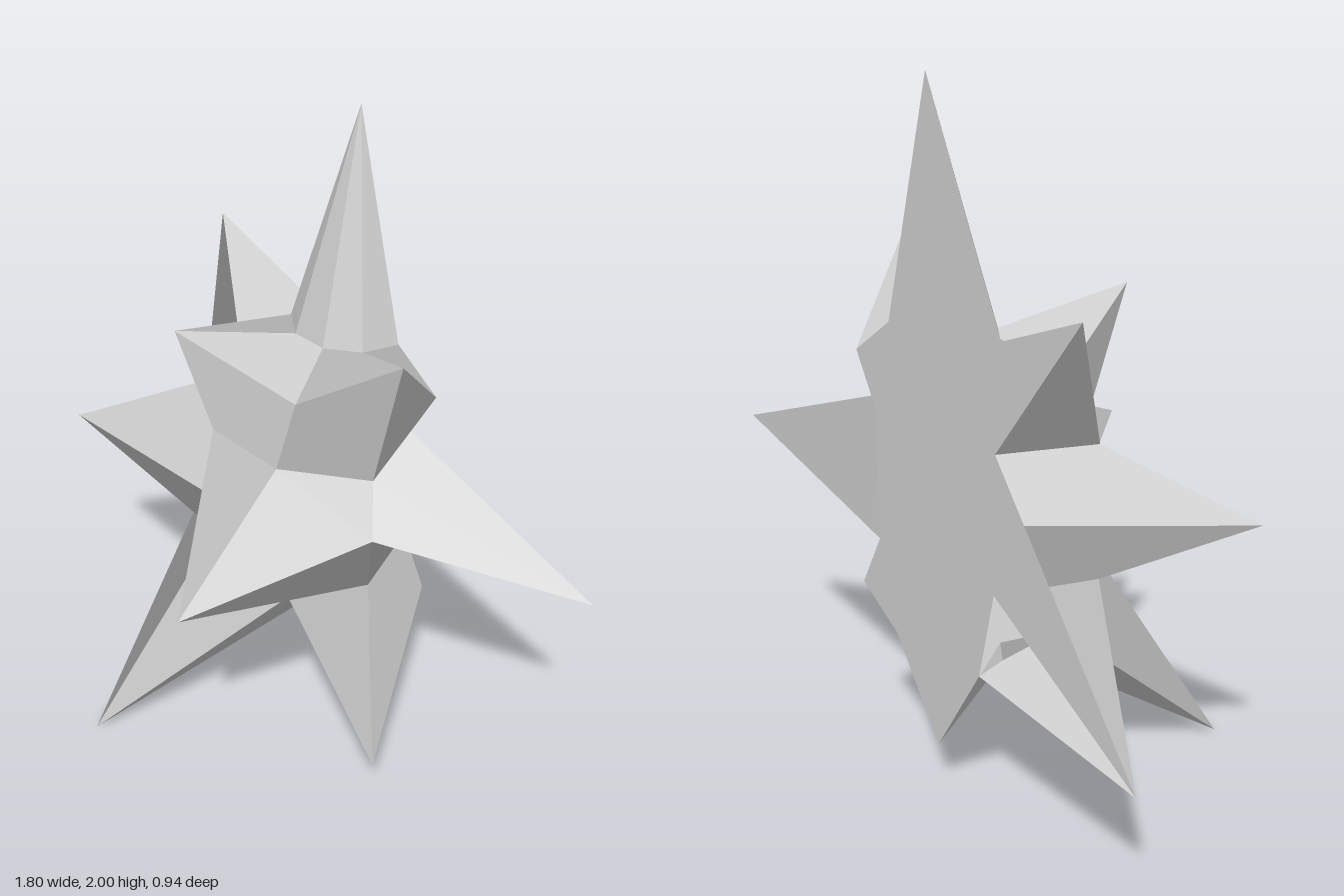
import * as THREE from 'three';

const CENTER = new THREE.Vector3(-0.105, 0.865, -0.47);
const RADIUS = 0.493;
const ROWS = 7, COLS = 6; // latitudes 67.5..-67.5 by 22.5, azimuths 0..180 by 36

// Pulled vertices of the half sphere, keyed "row,column"
const TIPS = {
  '1,1': [0.525, 1.62, -0.015], '1,3': [-0.28, 1.415, 0.07], '1,5': [-0.7, 1.46, -0.47],
  '3,0': [0.9, 0.865, -0.43], '3,2': [0.2, 0.865, 0.47], '3,4': [-0.82, 0.865, 0.05],
  '5,1': [0.465, 0.18, -0.05], '5,3': [-0.38, 0, 0.37], '5,5': [-0.905, 0.31, -0.47],
};
// Vertices pushed in between the spikes
const VALLEYS = {
  '2,0': [0.155, 1.055, -0.47], '4,0': [0.155, 0.675, -0.47],
  '2,5': [-0.37, 1.055, -0.47], '4,5': [-0.36, 0.665, -0.47],
  '3,3': [-0.19, 0.865, 0.02], '3,5': [-0.38, 0.865, -0.47],
};
// Cells split along the other diagonal
const OTHER_DIAGONAL = ['4,4', '5,4', '5,0'];

function point(row, col) {
  const key = `${row},${col}`;
  const moved = TIPS[key] || VALLEYS[key];
  if (moved) return new THREE.Vector3(...moved);
  const lat = THREE.MathUtils.degToRad(67.5 - row * 22.5);
  const az = THREE.MathUtils.degToRad(col * 36);
  return new THREE.Vector3(Math.cos(lat) * Math.cos(az), Math.sin(lat), Math.cos(lat) * Math.sin(az))
    .multiplyScalar(RADIUS).add(CENTER);
}

// Faceted mesh from corner triples, with one normal per triangle
function facetMesh(name, triangles, normals) {
  const geometry = new THREE.BufferGeometry().setFromPoints(triangles.flat());
  if (normals) {
    const values = normals.flatMap((n) => [n, n, n]).flatMap((n) => n.toArray());
    geometry.setAttribute('normal', new THREE.Float32BufferAttribute(values, 3));
  } else geometry.computeVertexNormals();
  const material = new THREE.MeshStandardMaterial({ color: 0xcccccc, side: THREE.DoubleSide });
  const mesh = new THREE.Mesh(geometry, material);
  mesh.name = name;
  return mesh;
}

export function createModel() {
  const group = new THREE.Group();
  group.name = 'halfSpikedStar';
  const apex = new THREE.Vector3(-0.105, 2, -0.47);
  const nadir = new THREE.Vector3(-0.105, 0.13, -0.47);

  // Side spikes: folded four-sided cells, each shaded as one facet
  const body = [], normals = [];
  for (let r = 0; r < ROWS - 1; r++) {
    for (let c = 0; c < COLS - 1; c++) {
      const a = point(r, c), b = point(r, c + 1);
      const d = point(r + 1, c), e = point(r + 1, c + 1);
      if (OTHER_DIAGONAL.includes(`${r},${c}`)) body.push([a, b, e], [a, e, d]);
      else body.push([a, b, d], [b, e, d]);
      const normal = e.clone().sub(a).cross(d.clone().sub(b)).normalize();
      normals.push(normal, normal);
    }
  }
  group.add(facetMesh('sideSpikes', body, normals));

  // Top and bottom spikes
  const top = [], bottom = [];
  for (let c = 0; c < COLS - 1; c++) {
    top.push([apex, point(0, c + 1), point(0, c)]);
    bottom.push([nadir, point(ROWS - 1, c), point(ROWS - 1, c + 1)]);
  }
  group.add(facetMesh('topSpike', top), facetMesh('bottomSpike', bottom));

  // Flat back
  const outline = [apex];
  for (const r of [0, 1, 2, 5, 4, 6]) outline.push(point(r, 5));
  outline.push(nadir);
  for (let r = ROWS - 1; r >= 0; r--) outline.push(point(r, 0));
  const flat = outline.map((p) => new THREE.Vector2(p.x, p.y));
  const back = THREE.ShapeUtils.triangulateShape(flat, [])
    .map(([i, j, k]) => {
      const t = [outline[i], outline[j], outline[k]];
      const area = (t[1].x - t[0].x) * (t[2].y - t[0].y) - (t[2].x - t[0].x) * (t[1].y - t[0].y);
      return area > 0 ? [t[0], t[2], t[1]] : t;
    });
  group.add(facetMesh('flatBack', back));
  return group;
}
